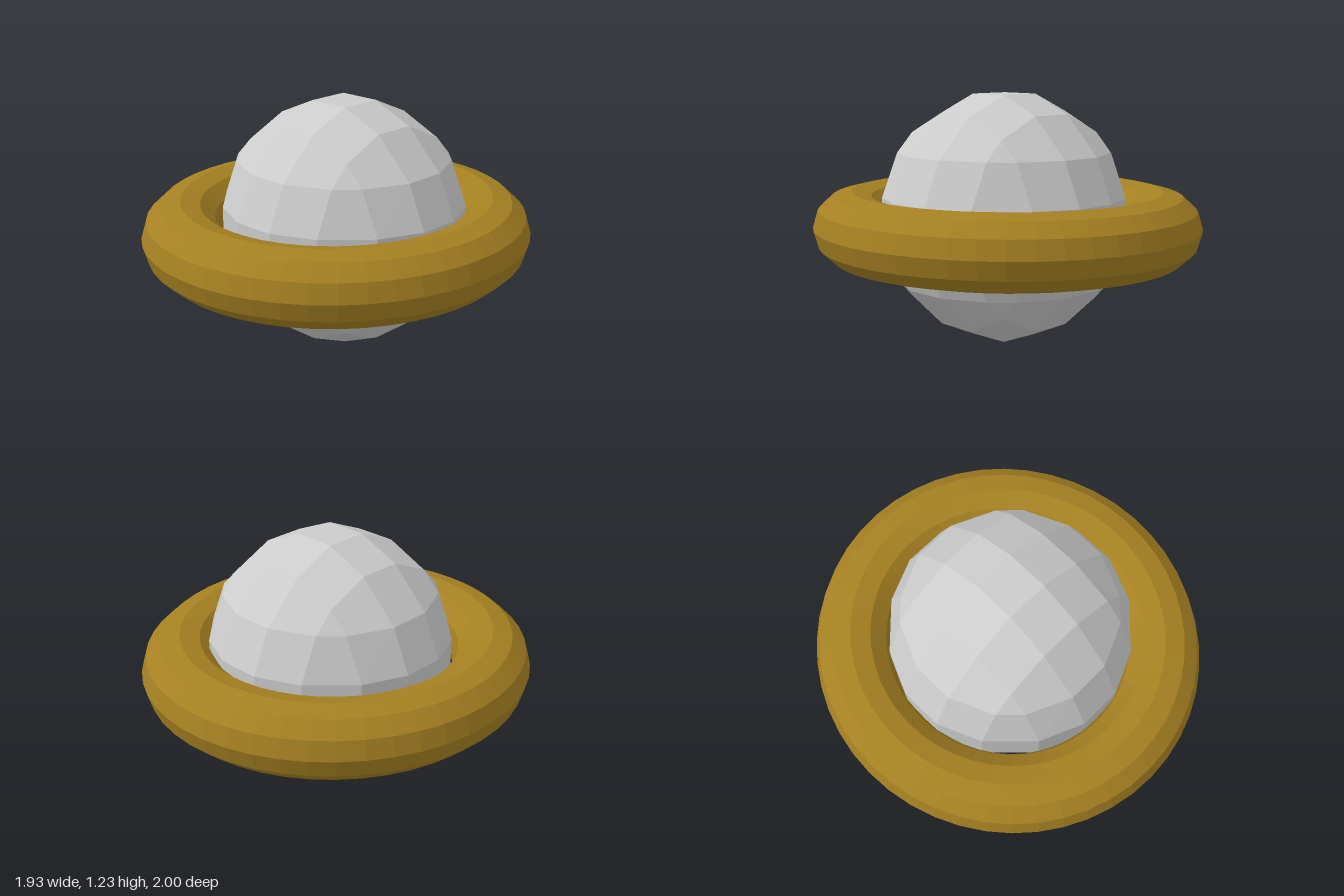
import * as THREE from 'three';
import { ConvexGeometry } from 'three/addons/geometries/ConvexGeometry.js';

// Faceted ball: a 4 x 4 grid of corners on each of six sides, bevelled together
function ballGeometry() {
  const steps = [-0.327, -0.11, 0.11, 0.327];
  const points = [];
  for (const a of steps) {
    for (const b of steps) {
      const outer = (Math.abs(a) > 0.2) + (Math.abs(b) > 0.2);
      const h = [0.617, 0.523, 0.425][outer];
      for (const s of [-h, h]) {
        points.push(
          new THREE.Vector3(a, b, s),
          new THREE.Vector3(s, a, b),
          new THREE.Vector3(b, s, a),
        );
      }
    }
  }
  return new ConvexGeometry(points);
}

export function createModel() {
  const model = new THREE.Group();
  model.name = 'ringedPlanet';

  // Planet, slightly off the ring's centre
  const planet = new THREE.Mesh(
    ballGeometry(),
    new THREE.MeshStandardMaterial({ color: 0xcccccc, flatShading: true }),
  );
  planet.name = 'planet';
  planet.position.set(0.033, 0.617, -0.015);
  model.add(planet);

  // Thick ring, a little squashed in width and height
  const ringGeometry = new THREE.TorusGeometry(0.8, 0.2, 12, 48);
  ringGeometry.rotateX(-Math.PI / 2);
  ringGeometry.scale(0.967, 0.912, 1);
  const ring = new THREE.Mesh(
    ringGeometry,
    new THREE.MeshStandardMaterial({ color: 0xa58022, flatShading: true }),
  );
  ring.name = 'ring';
  ring.position.y = 0.567;
  model.add(ring);

  return model;
}
